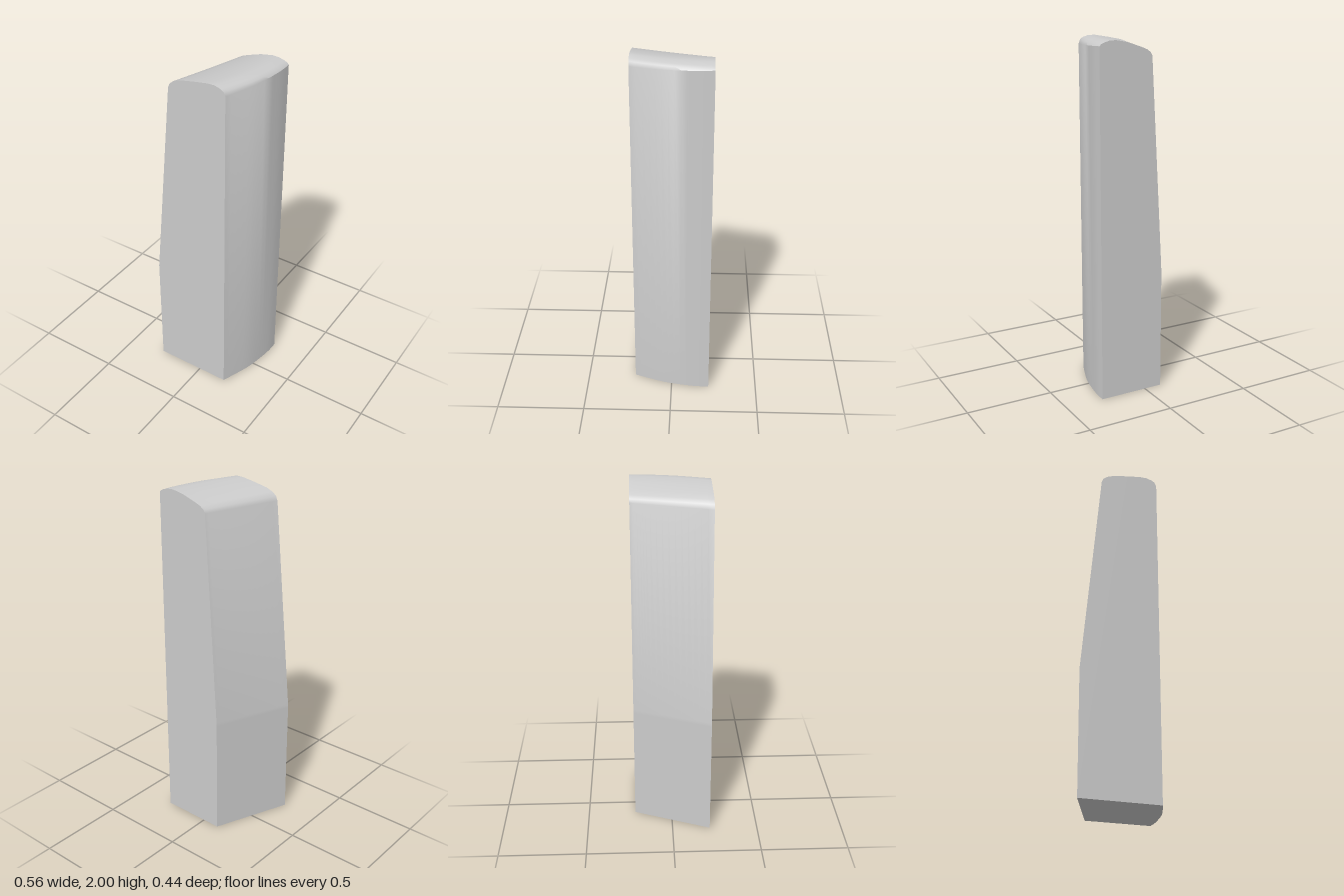
import * as THREE from 'three';
import { toCreasedNormals } from 'three/addons/utils/BufferGeometryUtils.js';

const lerp = THREE.MathUtils.lerp;
const HALF = 0.22, SLICES = 16;

// Crown: fraction across the width, height at the front, height at the back
const CROWN = [
  [1, 1.955, 1.972], [0.97, 1.978, 1.982], [0.92, 1.989, 1.989], [0.82, 1.999, 1.998],
  [0.7, 1.998, 2], [0.47, 1.985, 1.987], [0.22, 1.968, 1.961], [0.1, 1.952, 1.946],
  [0.03, 1.932, 1.93], [0, 1.908, 1.912],
];

// Plan of the bowed side wall, front to back
const bow = new THREE.CatmullRomCurve3([
  [0.18, 0.22], [0.215, 0.13], [0.246, 0.04], [0.265, -0.05], [0.277, -0.13], [0.28, -0.17], [0.28, -0.22],
].map(([x, z]) => new THREE.Vector3(x, 0, z)));

// Outline at one depth, counter-clockwise seen from the front
function outline(k) {
  const p = bow.getPoint(k / SLICES);
  const t = (HALF - p.z) / (2 * HALF);
  const foot = lerp(-0.28, -0.105, t);
  const shoulder = lerp(-0.165, -0.035, t);
  const lean = (y) => lerp(foot, shoulder, (y - 0.7) / 1.21);
  const points = [[foot, 0], [p.x - 0.003, 0]];
  for (const [u, front, back] of CROWN) {
    points.push([lerp(shoulder, p.x, u), lerp(front, back, t)]);
  }
  // Closely spaced rows keep the bend in the sloping wall crisp
  points.push([lean(0.71), 0.71], [foot, 0.7], [foot, 0.69]);
  return points.map(([x, y]) => [x, y, p.z]);
}

function loft() {
  const positions = [], index = [];
  const n = CROWN.length + 5;
  for (let k = 0; k <= SLICES; k++) positions.push(...outline(k).flat());
  for (let k = 0; k < SLICES; k++) {
    for (let i = 0; i < n; i++) {
      const a = k * n + i, b = k * n + (i + 1) % n;
      index.push(a, a + n, b, a + n, b + n, b);
    }
  }
  // Flat front and back ends
  const last = SLICES * n;
  for (let i = 1; i < n - 1; i++) {
    index.push(0, i, i + 1, last, last + i + 1, last + i);
  }
  const geometry = new THREE.BufferGeometry();
  geometry.setAttribute('position', new THREE.Float32BufferAttribute(positions, 3));
  geometry.setIndex(index);
  return toCreasedNormals(geometry, 0.6);
}

export function createModel() {
  const group = new THREE.Group();
  group.name = 'tower';
  const body = new THREE.Mesh(loft(), new THREE.MeshStandardMaterial({ color: 0xcccccc }));
  body.name = 'towerBody';
  group.add(body);
  return group;
}
